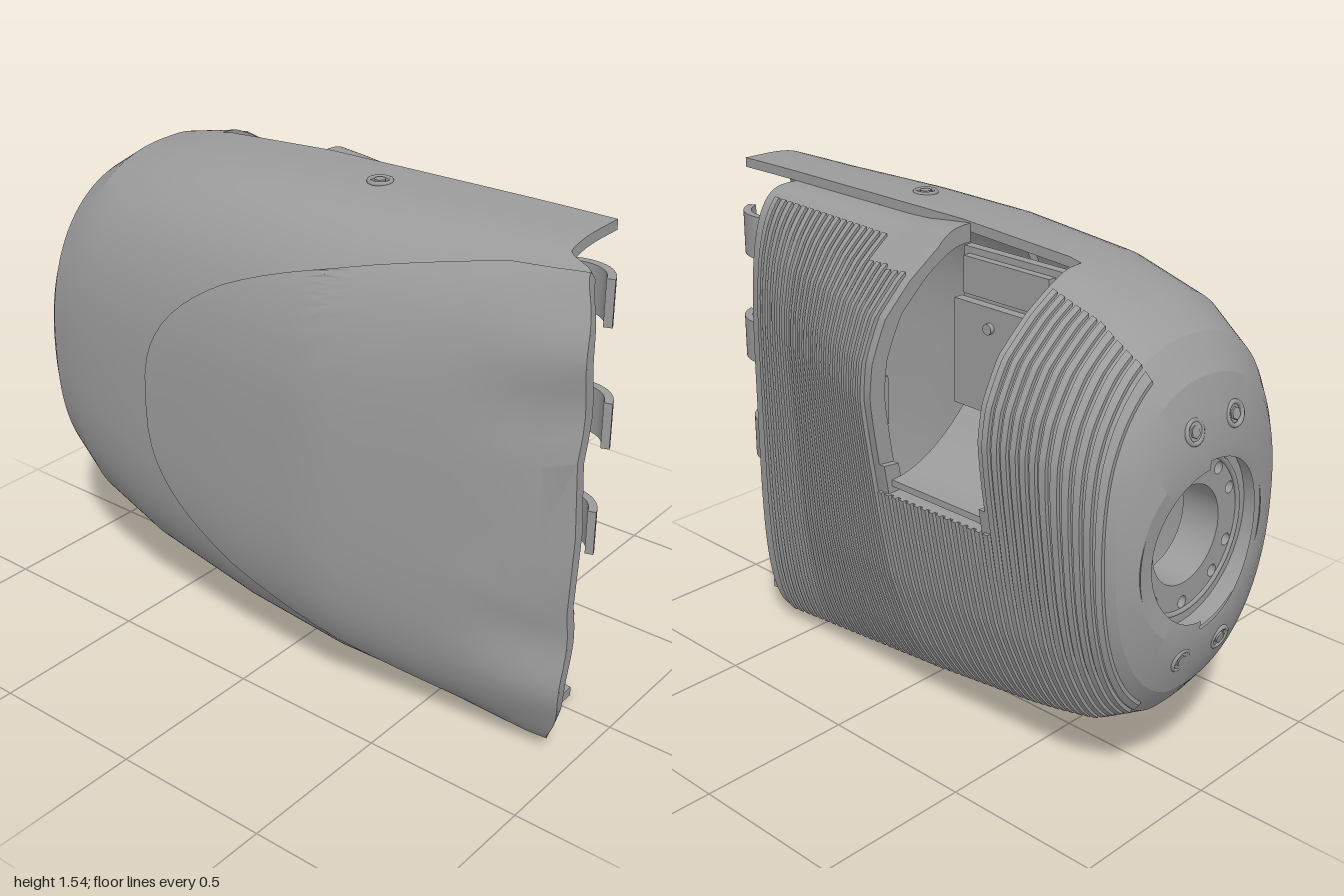
import * as THREE from 'three';
import { mergeGeometries, toCreasedNormals } from 'three/addons/utils/BufferGeometryUtils.js';

const SEAM = 0.06;
// z, back x, palm x, palm rim x, bottom y, top y, squareness
const SECTIONS = [
  [-1.0, -0.23, 0.31, 0.31, 0.53, 1.09, 2],
  [-0.98, -0.29, 0.34, 0.33, 0.44, 1.19, 2.1],
  [-0.95, -0.335, 0.365, 0.33, 0.36, 1.28, 2.2],
  [-0.88, -0.385, 0.405, 0.3, 0.27, 1.37, 2.4],
  [-0.75, -0.42, 0.45, 0.25, 0.19, 1.45, 2.6],
  [-0.5, -0.455, 0.472, 0.22, 0.13, 1.505, 2.8],
  [-0.1, -0.47, 0.465, 0.22, 0.08, 1.53, 3.1],
  [0.25, -0.468, 0.35, 0.22, 0.05, 1.535, 3.2],
  [0.65, -0.38, 0.225, 0.22, 0.02, 1.54, 3.5],
  [0.85, -0.325, 0.22, 0.22, 0, 1.54, 4.2],
  [1.0, -0.275, 0.22, 0.22, 0, 1.54, 5],
];
// how far the palm bulges at each height
const BULGE = [[0, 0], [0.1, 0.02], [0.25, 0.25], [0.5, 0.55], [0.7, 0.71], [0.88, 0.84], [1.1, 1], [1.2, 1], [1.32, 0.88], [1.41, 0.58], [1.48, 0.2], [1.6, 0]];

function lookup(table, k) {
  let i = 0;
  while (i < table.length - 2 && k > table[i + 1][0]) i++;
  const f = THREE.MathUtils.clamp((k - table[i][0]) / (table[i + 1][0] - table[i][0]), 0, 1);
  return table[i].map((v, c) => v + (table[i + 1][c] - v) * f);
}
const range = (a, b, n) => Array.from({ length: n + 1 }, (_, i) => a + (b - a) * i / n);
const smooth = THREE.MathUtils.smoothstep;

// point on the hull at angle a (0 top, PI bottom), inset by t; the wrist rim dips at its sides
function hull(side, z, a, t) {
  const [, xl, xr, rim, yb, top, n0] = lookup(SECTIONS, z);
  const n = side > 0 ? n0 * (1 + 0.12 * smooth(z, -0.9, -0.6)) : n0;
  const yt = side > 0 ? top - 0.03 * smooth(z, -0.2, 0.1) : top;
  const mid = (yb + yt) / 2, c = Math.cos(a);
  const s = Math.pow(Math.max(Math.sin(a), 0), 2 / n);
  const y = mid + ((yt - yb) / 2 - t) * Math.sign(c) * Math.pow(Math.abs(c), 2 / n);
  const zz = z + 0.028 * smooth(-z, 0.9, 1) * Math.sin(a) ** 2;
  if (side > 0) {
    const reach = rim + (xr - rim) * lookup(BULGE, y)[1];
    return [SEAM + (reach - SEAM - t) * s, y, zz];
  }
  const wave = 0.012 * Math.cos((y - 0.95) * Math.PI * 2 / 0.34) * smooth(z, 0.6, 0.95);
  return [SEAM - (SEAM - xl - t + wave) * s, y, zz];
}
// palm front edge bows forward at mid height
const palmPoint = (z, a, t) => hull(1, z > 0.4 ? z + (z - 0.4) * 0.2 * Math.sin(a) : z, a, t);
function backPoint(u, a, t) {
  const s = Math.sin(a);
  const end = 0.845 + 0.02 * Math.cos(a) + 0.085 * smooth(s, 0.32, 0.52) + 0.065 * smooth(s, 0.5, 1);
  return hull(-1, u > 0.5 ? 0.5 + (u - 0.5) * (end - 0.5) / 0.5 : u, a, t);
}

// walled sheet between insets t0 and t1; dropped cells leave openings with side walls
function sheet(P, us, as, t0, t1, keep = () => true) {
  const pos = [];
  const quad = (a, b, c, d) => pos.push(...a, ...b, ...c, ...a, ...c, ...d);
  const on = (i, j) => i >= 0 && j >= 0 && i < us.length - 1 && j < as.length - 1
    && keep(P((us[i] + us[i + 1]) / 2, (as[j] + as[j + 1]) / 2, t0), i);
  for (let i = 0; i < us.length - 1; i++) for (let j = 0; j < as.length - 1; j++) {
    if (!on(i, j)) continue;
    const k = [[i, j], [i + 1, j], [i + 1, j + 1], [i, j + 1]];
    const o = k.map(([p, q]) => P(us[p], as[q], t0)), n = k.map(([p, q]) => P(us[p], as[q], t1));
    quad(...o);
    quad(n[3], n[2], n[1], n[0]);
    [[i, j - 1], [i + 1, j], [i, j + 1], [i - 1, j]].forEach(([p, q], e) => {
      const f = (e + 1) % 4;
      if (!on(p, q)) quad(o[f], o[e], n[e], n[f]);
    });
  }
  const g = new THREE.BufferGeometry();
  g.setAttribute('position', new THREE.Float32BufferAttribute(pos, 3));
  return toCreasedNormals(g, 0.3);
}

export function createModel() {
  const root = new THREE.Group();
  root.name = 'palmHousing';
  const grey = new THREE.MeshStandardMaterial({ color: 0x9b9b9b, side: THREE.DoubleSide });
  grey.name = 'plainGrey';
  const add = (name, geo, x = 0, y = 0, z = 0) => {
    const m = new THREE.Mesh(geo, grey);
    m.name = name;
    m.position.set(x, y, z);
    root.add(m);
    return m;
  };
  const box = (name, x0, x1, y0, y1, z0, z1) =>
    add(name, new THREE.BoxGeometry(x1 - x0, y1 - y0, z1 - z0), (x0 + x1) / 2, (y0 + y1) / 2, (z0 + z1) / 2);

  // back shell with wavy knuckle edge
  const endZ = [-1, -0.98, -0.95, -0.915, -0.88, -0.82, -0.75, -0.65];
  const backZ = [...endZ, -0.5, -0.3, -0.1, 0.08, 0.25, 0.45, 0.65, 0.8, 0.9, 1];
  add('backShell', sheet(backPoint, backZ, range(Math.PI, 0, 64), 0, 0.03));
  add('backLiner', sheet(backPoint, range(0, 0.78, 5), range(Math.PI - 0.5, 0.5, 36), 0.03, 0.055));

  // slightly raised cover on the back, with an arched rear edge
  const coverPoint = (v, a, t) => {
    const z0 = -0.4 + 1.15 * (1 - Math.sin(a)) / (1 - Math.sin(0.55));
    return backPoint(z0 + (1 - z0) * v, a, t);
  };
  add('backCover', sheet(coverPoint, range(0, 1, 16), range(Math.PI - 0.55, 0.55, 40), -0.005, 0.004));

  // palm shell with thumb opening
  const palmZ = [...endZ, ...range(-0.54, -0.13, 20), ...range(-0.05, 0.62, 8)];
  add('palmShell', sheet(palmPoint, palmZ, range(0, Math.PI, 110), 0, 0.055, ([, y, z]) => {
    const corner = Math.max(0, Math.abs(z + 0.335) - 0.14);
    return !(Math.abs(z + 0.335) < 0.205 && y > 0.84 + corner * corner * 14);
  }));

  // grip ribs across the palm, wide ridges between narrow grooves
  const ribZ = range(-0.91, 0.56, 49).flatMap(z => [z, z + 0.018]);
  add('gripRibs', sheet(palmPoint, ribZ, range(0.42, Math.PI - 0.42, 64), -0.011, 0.004, ([, y, z], i) => {
    const thumb = Math.abs(z + 0.335) < 0.235 && y > 0.82;
    const step = z > -0.14 && z < 0.08 && y > 1.42;
    return i % 2 === 0 && !thumb && !step;
  }));

  // thumb mount and curved saddle inside the opening
  box('thumbPlate', 0.065, 0.095, 0.86, 1.47, -0.54, -0.14);
  box('thumbPanel', 0.095, 0.125, 1.0, 1.32, -0.53, -0.13);
  box('thumbSlotKey', 0.125, 0.135, 1.22, 1.35, -0.48, -0.44);
  box('thumbTopPad', 0.095, 0.12, 1.34, 1.45, -0.48, -0.16);
  add('thumbPin', new THREE.CylinderGeometry(0.016, 0.016, 0.02, 16), 0.13, 1.26, -0.27).rotation.z = Math.PI / 2;
  const saddle = (z, f, t) => [0.1 + 0.3 * f, 0.845 + 0.155 * (1 - f) ** 2 - t, z];
  add('thumbSaddle', sheet(saddle, range(-0.52, -0.15, 2), range(0, 1, 10), 0, 0.02));

  // bulkhead with four finger scallops
  const fingers = [0.22, 0.6, 0.95, 1.31];
  const plate = new THREE.Shape();
  plate.moveTo(-0.13, 0.07);
  fingers.forEach(y => plate.absarc(-0.13, y, 0.09, -Math.PI / 2, Math.PI / 2, false));
  plate.lineTo(-0.13, 1.47).lineTo(0.15, 1.47).lineTo(0.15, 0.07);
  add('bulkhead', new THREE.ExtrudeGeometry(plate, { depth: 0.03, bevelEnabled: false, curveSegments: 16 }), 0, 0, 0.42);

  // finger bays and curled clips
  const clipZ = [0.71, 0.76, 0.785, 0.765];
  const hook = new THREE.Shape();
  hook.absarc(0, 0, 0.125, -1.45, 1.25, false);
  hook.absarc(0, 0, 0.1, 1.25, -1.45, true);
  const hookGeo = new THREE.ExtrudeGeometry(hook, { depth: 0.14, bevelEnabled: false, curveSegments: 16 });
  hookGeo.rotateX(Math.PI / 2);
  fingers.forEach((y, i) => {
    for (const s of [-1, 1]) {
      box('bayWall', -0.13, 0.1, y + s * 0.15 - 0.012, y + s * 0.15 + 0.012, 0.44, 0.58);
      box('baySidePost', 0.04, 0.1, y + s * 0.115 - 0.025, y + s * 0.115 + 0.025, 0.44, 0.56);
    }
    add('fingerClip', hookGeo, 0, y + 0.07, clipZ[i]);
    box('clipFoot', 0.03, 0.1, y - 0.07, y + 0.07, 0.56, clipZ[i] - 0.09);
  });
  box('frontFrame', 0.1, 0.15, 0.07, 1.45, 0.42, 0.61);
  box('frontFrameEdge', 0.15, 0.18, 0.2, 1.35, 0.45, 0.6);

  // recessed wrist flange with bolt circle, bore and well wall
  const wx = 0.04, wy = 0.81;
  const hole = (x, y, r) => new THREE.Path().absarc(x, y, r, 0, Math.PI * 2, true);
  const ring = new THREE.Shape().absarc(0, 0, 0.268, 0, Math.PI * 2, false);
  ring.holes.push(hole(0, 0, 0.145));
  for (const d of [23, 50, 90, 130, 157]) for (const s of [-1, 1]) {
    const a = s * d * Math.PI / 180;
    ring.holes.push(hole(0.205 * Math.cos(a), 0.205 * Math.sin(a), 0.018));
  }
  add('wristFlange', new THREE.ExtrudeGeometry(ring, { depth: 0.03, bevelEnabled: false, curveSegments: 32 }), wx, wy, -0.92);
  const tube = (name, r, len, z) => {
    add(name, new THREE.CylinderGeometry(r, r, len, 48, 1, true), wx, wy, z).rotation.x = Math.PI / 2;
  };
  tube('wristBore', 0.145, 0.12, -0.86);
  tube('wristWell', 0.266, 0.09, -0.93);
  add('boltRingStep', new THREE.TorusGeometry(0.232, 0.008, 6, 48), wx, wy, -0.92);
  box('wristKey', wx + 0.2, wx + 0.26, wy + 0.04, wy + 0.09, -0.955, -0.91);

  // recessed screws: rim ring plus sunken head, facing +y before rotation
  const rim = new THREE.TorusGeometry(0.032, 0.007, 8, 24).rotateX(Math.PI / 2);
  const head = new THREE.CylinderGeometry(0.018, 0.018, 0.012, 6);
  const screwGeo = mergeGeometries([rim, head]);
  const screw = (x, y, z, rx) => { add('screw', screwGeo, x, y, z).rotation.x = rx; };
  screw(-0.07, 1.532, 0.18, 0);
  screw(-0.05, 0.05, 0.3, Math.PI);
  for (const sx of [-1, 1]) {
    screw(0.03 + sx * 0.088, 1.155, -0.982, -Math.PI / 2 + 0.25);
    screw(0.03 + sx * 0.088, 0.48, -0.982, -Math.PI / 2 - 0.25);
  }
  return root;
}
